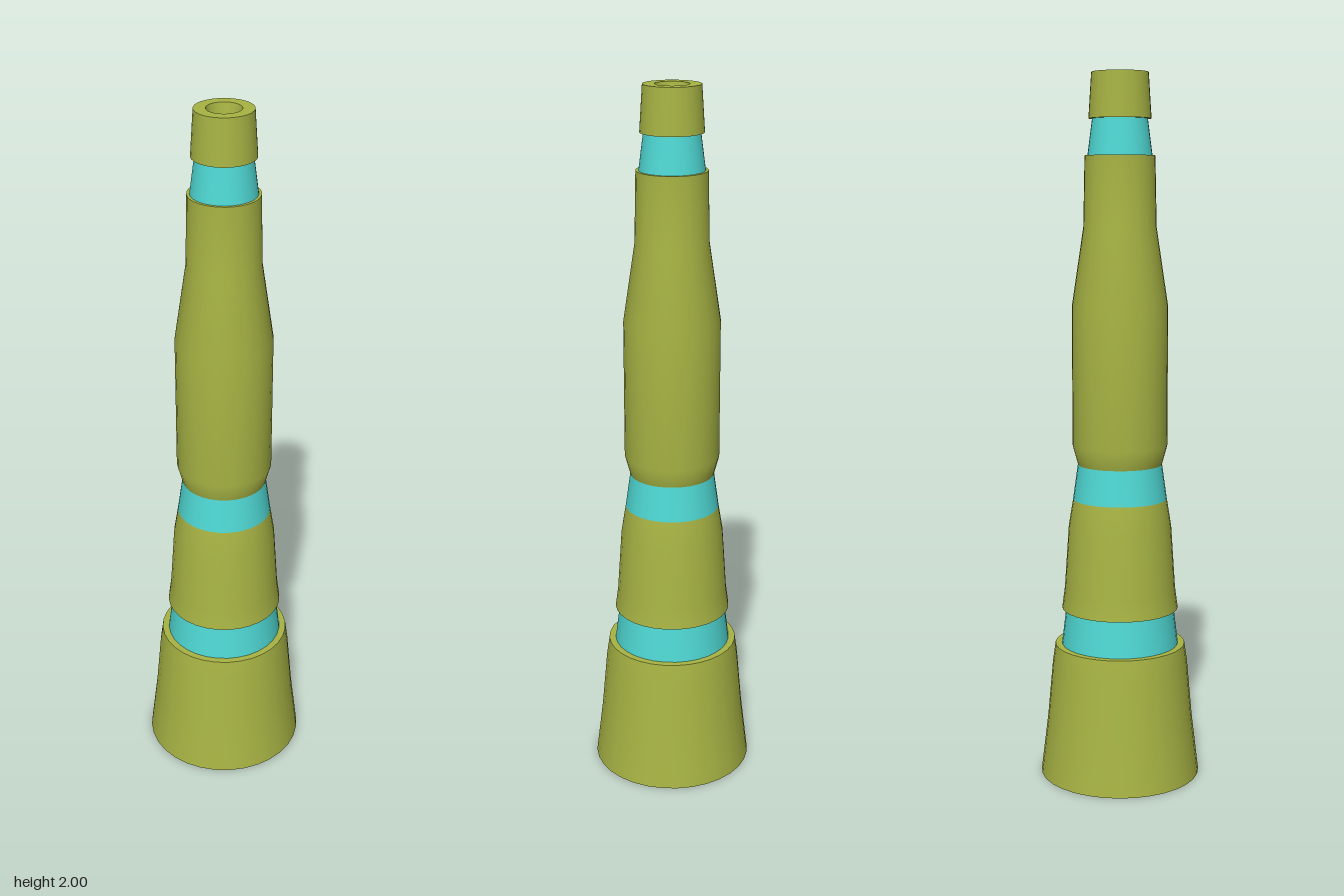
import * as THREE from 'three';
import { mergeGeometries } from 'three/addons/utils/BufferGeometryUtils.js';

const SIDES = 32;

// Each strip is a smooth run of [radius, height] points; edges between strips stay sharp.
function turned(name, material, strips) {
  const parts = strips.map((strip) =>
    new THREE.LatheGeometry(strip.map(([r, y]) => new THREE.Vector2(r, y)), SIDES));
  const mesh = new THREE.Mesh(mergeGeometries(parts), material);
  mesh.name = name;
  return mesh;
}

export function createModel() {
  const olive = new THREE.MeshStandardMaterial({ color: 0xa8b444 });
  olive.name = 'olive';
  const cyan = new THREE.MeshStandardMaterial({ color: 0x4fd8d4 });
  cyan.name = 'cyan';

  const group = new THREE.Group();
  group.name = 'taperedTube';
  group.add(
    // Flared foot with a flat shoulder
    turned('base', olive, [
      [[0, 0], [0.23, 0]],
      [[0.23, 0], [0.21, 0.165], [0.195, 0.33], [0.187, 0.385]],
      [[0.187, 0.385], [0.163, 0.385]],
    ]),
    turned('lowerBand', cyan, [[[0.168, 0.385], [0.155, 0.49]]]),
    // Lower sleeve with an overhanging rim
    turned('lowerSleeve', olive, [
      [[0.15, 0.49], [0.167, 0.49]],
      [[0.167, 0.49], [0.159, 0.55], [0.147, 0.73], [0.134, 0.81]],
    ]),
    turned('middleBand', cyan, [[[0.134, 0.81], [0.12, 0.91]]]),
    // Main barrel narrowing to the neck
    turned('barrel', olive, [
      [[0.12, 0.91], [0.135, 0.965], [0.135, 1.36], [0.102, 1.58], [0.098, 1.775]],
      [[0.098, 1.775], [0.085, 1.775]],
    ]),
    turned('upperBand', cyan, [[[0.09, 1.775], [0.077, 1.875]]]),
    // Mouthpiece with a tapered recess
    turned('mouthpiece', olive, [
      [[0.072, 1.875], [0.087, 1.875]],
      [[0.087, 1.875], [0.079, 2]],
      [[0.079, 2], [0.047, 2]],
      [[0.047, 2], [0.03, 1.9]],
      [[0.03, 1.9], [0, 1.9]],
    ]),
  );
  return group;
}
